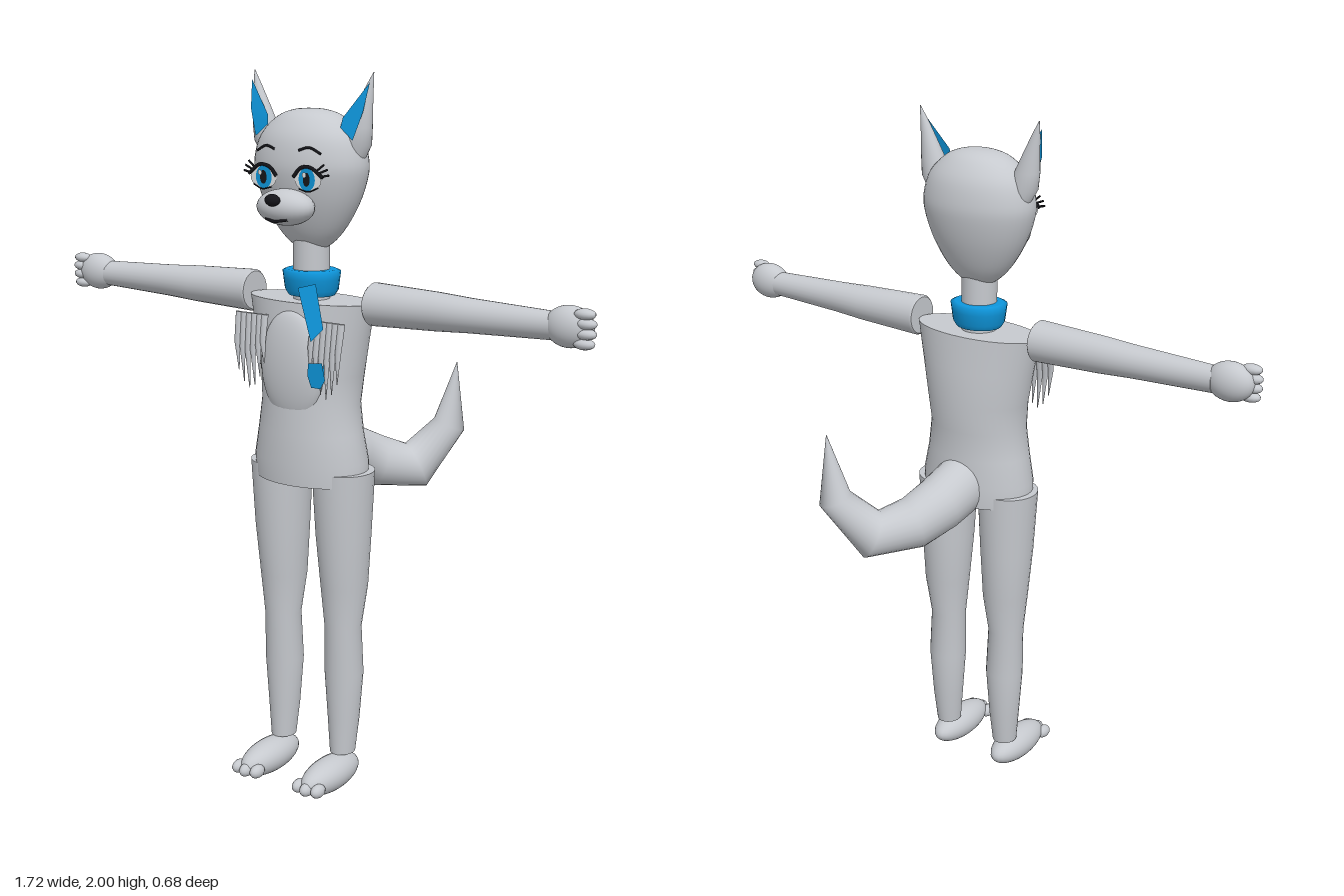
import * as THREE from 'three';

const mat = (name, color, side = THREE.FrontSide) => {
  const m = new THREE.MeshStandardMaterial({ color, side });
  m.name = name;
  return m;
};
const fur = mat('grey fur', 0xc6c9ce);
const blue = mat('blue', 0x0e96dc, THREE.DoubleSide);
const black = mat('black', 0x15151a, THREE.DoubleSide);
const white = mat('white', 0xf2f4f6, THREE.DoubleSide);

const V = (x, y, z) => new THREE.Vector3(x, y, z);
const UP = V(0, 1, 0), FRONT = V(0, 0, 1);

// Skin through elliptical rings [x, y, z, ru, rv], with flat end caps
function loft(rings, ref, dir = null, seg = 24) {
  const pos = [], idx = [], n = rings.length;
  const at = i => V(...rings[Math.max(0, Math.min(n - 1, i))]);
  rings.forEach(([x, y, z, ru, rv], i) => {
    const t = dir ? dir.clone() : at(i + 1).sub(at(i - 1)).normalize();
    const u = ref.clone().cross(t).normalize(), v = t.clone().cross(u);
    for (let j = 0; j < seg; j++) {
      const a = j / seg * Math.PI * 2;
      const p = V(x, y, z).addScaledVector(u, Math.cos(a) * ru).addScaledVector(v, Math.sin(a) * rv);
      pos.push(p.x, p.y, p.z);
    }
  });
  for (let i = 0; i < n - 1; i++) for (let j = 0; j < seg; j++) {
    const a = i * seg + j, b = i * seg + (j + 1) % seg;
    idx.push(a, b, a + seg, b, b + seg, a + seg);
  }
  for (const end of [0, n - 1]) {
    const c = pos.length / 3;
    pos.push(...rings[end].slice(0, 3));
    for (let j = 0; j < seg; j++) pos.push(...pos.slice((end * seg + j) * 3, (end * seg + j) * 3 + 3));
    for (let j = 0; j < seg; j++) {
      const a = c + 1 + j, b = c + 1 + (j + 1) % seg;
      idx.push(c, ...(end ? [a, b] : [b, a]));
    }
  }
  const g = new THREE.BufferGeometry();
  g.setAttribute('position', new THREE.Float32BufferAttribute(pos, 3));
  g.setIndex(idx);
  g.computeVertexNormals();
  return g;
}

export function createModel() {
  const model = new THREE.Group();
  model.name = 'animalFigure';
  const add = (name, geo, m) => {
    const mesh = new THREE.Mesh(geo, m);
    mesh.name = name;
    model.add(mesh);
    return mesh;
  };
  const ball = (name, m, x, y, z, rx, ry, rz, seg = 28) =>
    add(name, new THREE.SphereGeometry(1, seg, seg * 0.7 | 0).scale(rx, ry, rz).translate(x, y, z), m);
  // Flat face detail; zOf gives its depth from x and y
  const plate = (name, m, pts, zOf) => {
    const g = new THREE.ShapeGeometry(new THREE.Shape(pts.map(p => new THREE.Vector2(...p))));
    const p = g.attributes.position;
    for (let i = 0; i < p.count; i++) p.setZ(i, zOf(p.getX(i), p.getY(i)));
    g.computeVertexNormals();
    return add(name, g, m);
  };
  const disc = (name, m, x, y, z, rx, ry) =>
    add(name, new THREE.CircleGeometry(1, 24).scale(rx, ry, 1).translate(x, y, z), m);
  const line = (name, pts, r) =>
    add(name, new THREE.TubeGeometry(new THREE.CatmullRomCurve3(pts.map(p => V(...p))), 14, r, 5), black);

  // Torso: y, half width, half depth, centre z
  add('torso', loft([[0.9, 0.172, 0.118, 0.14], [0.96, 0.174, 0.12, 0.14], [1.04, 0.158, 0.115, 0.142],
    [1.12, 0.147, 0.112, 0.14], [1.2, 0.155, 0.114, 0.134], [1.3, 0.176, 0.106, 0.135], [1.4, 0.197, 0.095, 0.135]]
    .map(([y, a, b, z]) => [0, y, z, a, b]), FRONT, UP, 40), fur);
  ball('bellyPatch', fur, 0, 1.225, 0.225, 0.102, 0.155, 0.04);
  add('neck', new THREE.CylinderGeometry(0.05, 0.05, 0.16, 24).translate(0, 1.48, 0.137), fur);

  // Collar scarf and hanging end
  add('collar', loft([[1.41, 0.066, 0.058], [1.425, 0.076, 0.066], [1.455, 0.08, 0.07], [1.475, 0.083, 0.072], [1.48, 0.072, 0.062]]
    .map(([y, a, b]) => [0, y, 0.136, a, b]), FRONT, UP), blue);
  plate('scarfUpper', blue, [[0.02, 1.44], [0.075, 1.455], [0.127, 1.345], [0.095, 1.31]],
    (x, y) => 0.272 - Math.max(0, y - 1.31) * 0.35);
  plate('scarfMiddle', blue, [[0.095, 1.33], [0.125, 1.345], [0.125, 1.22], [0.09, 1.22]], () => 0.237);
  plate('scarfEnd', blue, [[0.08, 1.25], [0.125, 1.255], [0.135, 1.21], [0.12, 1.185], [0.09, 1.185], [0.078, 1.215]], () => 0.264);

  // Egg-shaped head and muzzle
  const egg = new THREE.SplineCurve([[0.0005, 1.53], [0.05, 1.542], [0.097, 1.585], [0.14, 1.655], [0.165, 1.725],
    [0.168, 1.775], [0.148, 1.835], [0.1, 1.882], [0.05, 1.901], [0.0005, 1.905]].map(p => new THREE.Vector2(...p)));
  add('head', new THREE.LatheGeometry(egg.getPoints(36), 40).scale(1, 1, 0.69).translate(0, 0, 0.135), fur);
  ball('muzzle', fur, 0, 1.655, 0.25, 0.086, 0.048, 0.056);
  ball('nose', black, 0, 1.678, 0.307, 0.023, 0.016, 0.016, 16);
  line('mouth', [[-0.035, 1.627, 0.29], [0, 1.622, 0.297], [0.035, 1.627, 0.29]], 0.004);

  for (const s of [-1, 1]) {
    const side = s > 0 ? 'left' : 'right';
    const flip = pts => pts.map(([x, ...r]) => [x * s, ...r]);

    // Ear and its blue inside
    add(side + 'Ear', loft(flip([[0.125, 1.77, 0.13, 0.035, 0.03], [0.145, 1.815, 0.132, 0.041, 0.033],
      [0.154, 1.86, 0.134, 0.036, 0.03], [0.167, 1.91, 0.132, 0.024, 0.02], [0.181, 1.96, 0.13, 0.012, 0.01],
      [0.193, 2, 0.127, 0.001, 0.001]]), FRONT, UP), fur);
    plate(side + 'InnerEar', blue, flip([[0.191, 1.975], [0.122, 1.885], [0.118, 1.86], [0.158, 1.828], [0.182, 1.9]]),
      (x, y) => 0.172 - Math.max(0, y - 1.85) * 0.24);

    // Eye, lashes and brow
    const ex = 0.072 * s, ey = 1.73;
    disc(side + 'EyeWhite', white, ex, ey, 0.25, 0.043, 0.03);
    disc(side + 'Iris', blue, ex - 0.002 * s, ey, 0.252, 0.026, 0.03);
    disc(side + 'Pupil', black, ex - 0.002 * s, ey, 0.254, 0.011, 0.018);
    disc(side + 'Highlight', white, ex - 0.008, ey + 0.012, 0.256, 0.006, 0.007);
    line(side + 'UpperLid', flip([[0.028, 1.735, 0.253], [0.05, 1.758, 0.253], [0.08, 1.763, 0.253], [0.12, 1.737, 0.25]]), 0.005);
    line(side + 'LowerLid', flip([[0.045, 1.705, 0.252], [0.075, 1.699, 0.252], [0.105, 1.71, 0.25]]), 0.002);
    [[0.1, 1.753, 0.122, 1.77], [0.108, 1.748, 0.133, 1.758], [0.116, 1.74, 0.138, 1.744]].forEach(([a, b, c, d]) =>
      line(side + 'Lash', flip([[a, b, 0.25], [c, d, 0.248]]), 0.003));
    line(side + 'Brow', flip([[0.038, 1.803, 0.243], [0.07, 1.811, 0.24], [0.103, 1.796, 0.235]]), 0.0035);

    // Arm, hand and fingers
    add(side + 'Arm', loft(flip([[0.197, 1.402, 0.134, 0.053, 0.053], [0.203, 1.402, 0.134, 0.058, 0.058],
      [0.4, 1.402, 0.134, 0.051, 0.051], [0.5, 1.402, 0.135, 0.045, 0.045], [0.74, 1.402, 0.136, 0.034, 0.036]]),
      UP, V(s, 0, 0)), fur);
    ball(side + 'Hand', fur, 0.78 * s, 1.405, 0.138, 0.066, 0.053, 0.042);
    [1.443, 1.419, 1.394, 1.369].forEach((y, i) =>
      ball(side + 'Finger', fur, (0.829 + (i % 3 ? 0.004 : 0)) * s, y, 0.155, 0.029, 0.014, 0.019, 14));

    // Leg, foot and toes: y, half width, half depth, centre z
    add(side + 'Leg', loft([[0.1, 0.035, 0.039, 0.14], [0.2, 0.045, 0.046, 0.135], [0.34, 0.056, 0.054, 0.133],
      [0.48, 0.052, 0.053, 0.138], [0.6, 0.066, 0.069, 0.132], [0.75, 0.077, 0.08, 0.136], [0.935, 0.088, 0.087, 0.137]]
      .map(([y, a, b, z]) => [0.105 * s, y, z, a, b]), FRONT, UP), fur);
    ball(side + 'Foot', fur, 0.107 * s, 0.053, 0.205, 0.052, 0.048, 0.122);
    [-0.032, 0, 0.032].forEach(d =>
      ball(side + 'Toe', fur, 0.107 * s + d, 0.048, d ? 0.308 : 0.316, 0.018, 0.019, 0.027, 14));

    // Chest tuft of hanging strands
    [[0.17, 1.2], [0.152, 1.17], [0.134, 1.155], [0.116, 1.165], [0.098, 1.19], [0.082, 1.22]].forEach(([x, y], i) =>
      add(side + 'ChestTuft', loft(flip([[x - 0.006, y, 0.25, 0.001, 0.001], [x - 0.002, (y + 1.36) / 2, 0.252, 0.01, 0.005],
        [x, 1.36, 0.238, 0.012, 0.006]]), FRONT, UP, 8), fur));
  }

  // Bent tail ending in a point
  add('tail', loft([[0, 0.955, 0.06, 0.08, 0.085], [0.005, 0.925, -0.05, 0.078, 0.08], [0.035, 0.89, -0.13, 0.076, 0.074],
    [0.112, 0.868, -0.222, 0.068, 0.07], [0.18, 0.985, -0.295, 0.047, 0.047], [0.2, 1.17, -0.3, 0.001, 0.001]], UP), fur);

  return model;
}
